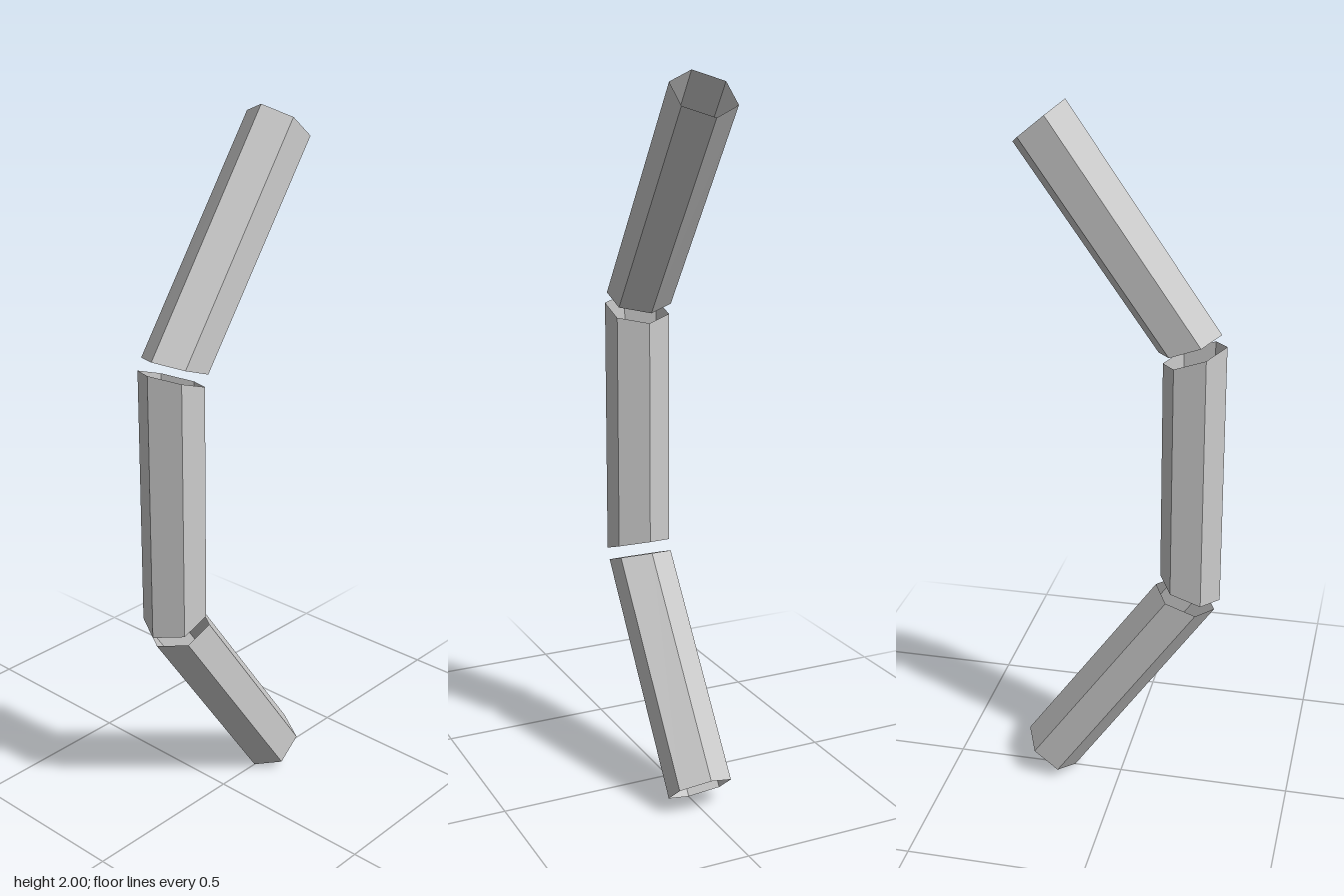
import * as THREE from 'three';

// Hexagon section: share of the way from outer to inner corner, and z
const HEX = [[0, 0], [0.25, 0.079], [0.75, 0.079], [1, 0], [0.75, -0.079], [0.25, -0.079]];

// Open hexagonal tube between two cut ends, each given as [outer, inner] corners in x, y
function hexTube(name, bottom, top, material) {
  const ring = ([outer, inner]) => HEX.map(([t, z]) => [
    outer[0] + (inner[0] - outer[0]) * t,
    outer[1] + (inner[1] - outer[1]) * t,
    z,
  ]);
  const a = ring(bottom), b = ring(top);
  const positions = [];
  for (let i = 0; i < 6; i++) {
    const j = (i + 1) % 6;
    positions.push(...a[i], ...a[j], ...b[j], ...a[i], ...b[j], ...b[i]);
  }
  const geometry = new THREE.BufferGeometry();
  geometry.setAttribute('position', new THREE.Float32BufferAttribute(positions, 3));
  geometry.computeVertexNormals();
  const mesh = new THREE.Mesh(geometry, material);
  mesh.name = name;
  return mesh;
}

export function createModel() {
  const group = new THREE.Group();
  group.name = 'bentHexTube';
  const material = new THREE.MeshStandardMaterial({
    color: 0xcccccc, flatShading: true, side: THREE.DoubleSide,
  });

  // Mirror a cut end about mid height
  const flip = (end) => end.map(([x, y]) => [x, 2 - y]);

  // Slanted arms: mitred at the elbow, cut square at the free end
  const elbow = [[-0.27, 1.409], [-0.102, 1.348]];
  const tip = [[0.142, 2], [0.282, 1.887]];
  group.add(hexTube('upperArm', elbow, tip, material));
  group.add(hexTube('lowerArm', flip(tip), flip(elbow), material));

  // Upright middle piece, mitred at both ends
  const middleTop = [[-0.285, 1.377], [-0.114, 1.318]];
  group.add(hexTube('middleSection', flip(middleTop), middleTop, material));

  return group;
}
